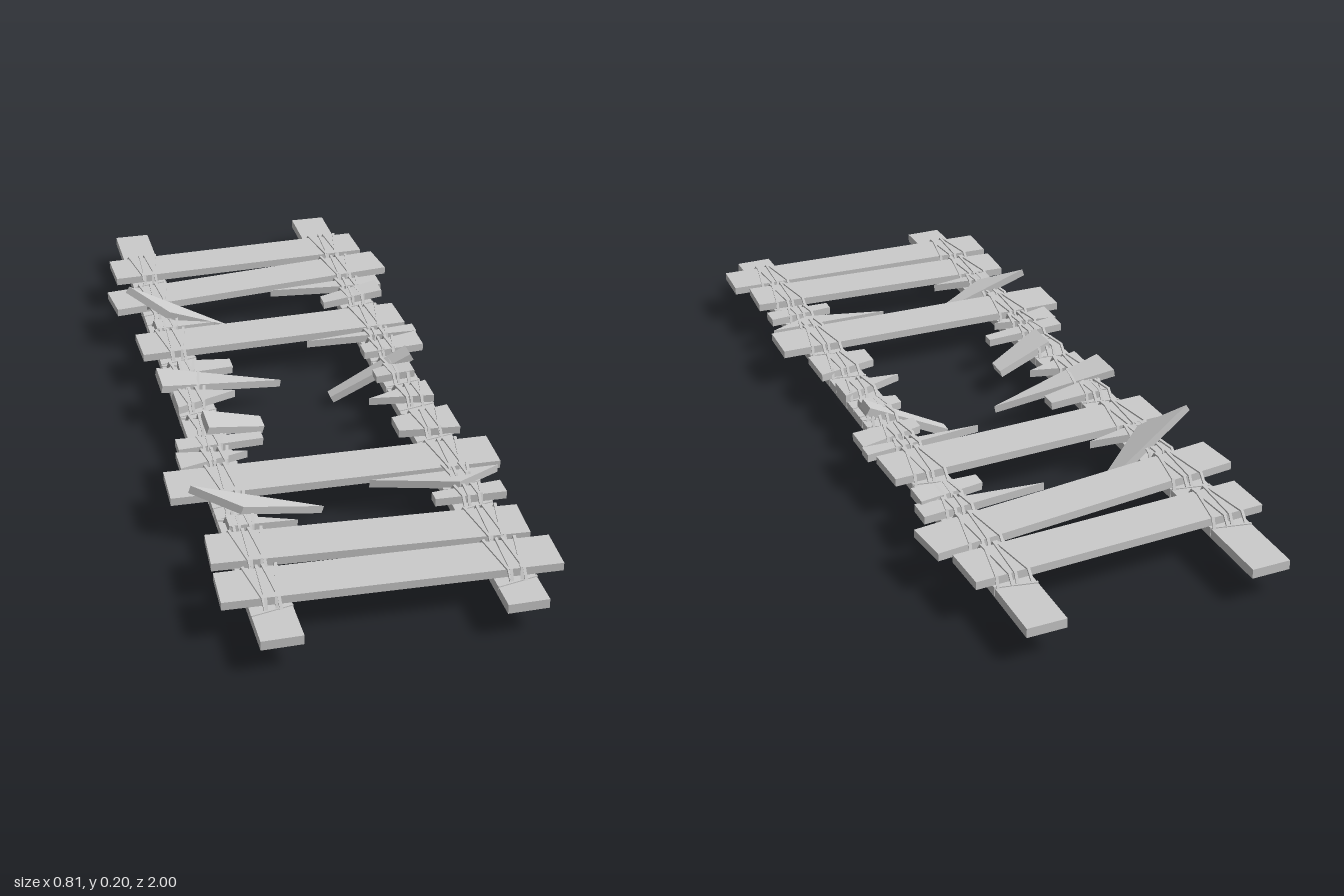
import * as THREE from 'three';

const wood = new THREE.MeshStandardMaterial({ color: 0xcccccc, flatShading: true });
const RAIL_X = [-0.267, 0.274];
const DECK = 0.1, THICK = 0.02;

function box(parent, name, size, pos, yaw = 0) {
  const m = new THREE.Mesh(new THREE.BoxGeometry(...size), wood);
  m.name = name;
  m.position.set(...pos);
  m.rotation.y = yaw;
  parent.add(m);
}

// Outlines seen from above: butt end (x0, z0), broken end (x1, z1), width w
const outlines = {
  // straight butt running to a point
  spike: (x0, z0, x1, z1, w) => [[x0, z0 - w / 2], [x1, z1], [x0, z0 + w / 2]],
  // pointed at both ends, widest a third of the way along
  shard: (x0, z0, x1, z1, w) => [[x0, z0], [x1, z1], [x0 + (x1 - x0) * 0.35, z0 + w]],
  // short piece with a blunter broken end
  stub: (x0, z0, x1, z1, w) => [[x0, z0 - w / 2], [x1, z1 - w * 0.3],
    [x1, z1 + w * 0.3], [x0, z0 + w / 2]],
};

// Broken plank, tilted about the inner edge of its rail
function splinter(parent, kind, x0, z0, x1, z1, w, tilt = 0) {
  const a = THREE.MathUtils.degToRad(tilt);
  const pivot = Math.sign(x0) * 0.22;
  const shape = new THREE.Shape(outlines[kind](x0, z0, x1, z1, w)
    .map(([x, z]) => new THREE.Vector2((x - pivot) / Math.cos(a), -z)));
  const g = new THREE.ExtrudeGeometry(shape, { depth: THICK, bevelEnabled: false });
  g.rotateX(-Math.PI / 2);
  g.rotateZ(a);
  const m = new THREE.Mesh(g, wood);
  m.name = kind;
  m.position.set(pivot, x0 > 0 && tilt > 20 ? DECK - THICK : DECK, 0);
  parent.add(m);
}

// Thin cord over a plank, sloping down to the rail on both sides
function binding(parent, x, z, width, yaw) {
  const h = width / 2 + 0.004, foot = h + 0.014, t = 0.004, top = THICK + 0.001;
  const half = [[foot, 0], [foot + t, 0], [h + t / 2, top + t]];
  const s = new THREE.Shape([
    [-h, top], [h, top], ...half, ...half.map(([u, v]) => [-u, v]).reverse(),
  ].map(([u, v]) => new THREE.Vector2(u, v)));
  const g = new THREE.ExtrudeGeometry(s, { depth: 0.007, bevelEnabled: false });
  g.translate(0, 0, -0.0035);
  g.rotateY(Math.PI / 2 + yaw);
  const m = new THREE.Mesh(g, wood);
  m.name = 'binding';
  m.position.set(x, DECK, z);
  parent.add(m);
}

// Slanted cords over a plank plus cross ties on the rail beside it
function lash(parent, x, z, width) {
  [[-0.026, 0.16], [-0.008, -0.05], [0.014, 0.08], [0.026, -0.2]].forEach(([dx, yaw]) =>
    binding(parent, x + dx, z, width, yaw));
  for (const s of [-1, 1]) {
    box(parent, 'crossTie', [0.098, 0.022, 0.006],
      [x, 0.0915, z + s * (width / 2 + 0.02)], s * 0.2);
  }
}

export function createModel() {
  const root = new THREE.Group();
  root.name = 'brokenBridge';
  const group = (name) => {
    const g = new THREE.Group();
    g.name = name;
    root.add(g);
    return g;
  };

  const rails = group('rails');
  RAIL_X.forEach((x) => box(rails, 'rail', [0.094, 0.023, 2], [x, 0.0885, 0]));

  // Whole planks: end x and z, other end x and z, width
  const planks = group('planks'), bindings = group('bindings');
  [
    [-0.36, -0.746, 0.362, -0.771, 0.117],
    [-0.39, -0.555, 0.397, -0.64, 0.112],
    [-0.358, -0.288, 0.362, -0.307, 0.117],
    [-0.405, 0.402, 0.388, 0.422, 0.116],
    [-0.362, 0.677, 0.358, 0.722, 0.113],
    [-0.37, 0.822, 0.388, 0.853, 0.11],
  ].forEach(([x0, z0, x1, z1, w]) => {
    const dx = x1 - x0, dz = z1 - z0;
    box(planks, 'plank', [Math.hypot(dx, dz), THICK, w],
      [(x0 + x1) / 2, DECK + THICK / 2, (z0 + z1) / 2], -Math.atan2(dz, dx));
    RAIL_X.forEach((x) => lash(bindings, x, z0 + dz * (x - x0) / dx, w));
  });

  // Broken planks: butt x and z, broken end x and z, width, tilt
  const broken = group('brokenPlanks');
  const breakPlanks = (kind, list) => list.forEach((p) => {
    splinter(broken, kind, ...p);
    const [x0, z0, , z1, w] = p;
    lash(bindings, RAIL_X[x0 < 0 ? 0 : 1], z0 * 0.65 + z1 * 0.35, w * 0.7);
  });
  breakPlanks('shard', [
    [-0.365, -0.46, -0.08, -0.505, 0.055, -32],
    [-0.37, 0.49, -0.055, 0.49, 0.06, -18.4],
    [0.375, 0.495, 0.06, 0.49, 0.05],
  ]);
  breakPlanks('spike', [
    [-0.3, -0.383, -0.14, -0.38, 0.055, -4],
    [-0.345, -0.067, -0.025, -0.077, 0.097, -10],
    [-0.315, 0.012, -0.16, 0.005, 0.093],
    [-0.36, 0.302, -0.19, 0.295, 0.073],
    [-0.3, 0.584, -0.14, 0.602, 0.048, -4],
    [0.362, -0.515, 0.05, -0.517, 0.06],
    [0.38, -0.215, 0.08, -0.205, 0.04],
    [0.325, 0.106, 0.16, 0.125, 0.08],
  ]);
  breakPlanks('stub', [
    [-0.278, -0.137, -0.14, -0.147, 0.07, -4],
    [-0.27, 0.152, -0.12, 0.116, 0.085, -18],
    [-0.352, 0.237, -0.14, 0.228, 0.05, -2],
    [0.35, -0.463, 0.18, -0.435, 0.065, 4],
    [0.376, -0.157, 0.212, -0.13, 0.075],
    [0.32, -0.045, 0.11, -0.05, 0.05, 27.5],
    [0.31, -0.008, 0.21, 0.002, 0.065, 5],
    [0.342, 0.253, 0.19, 0.26, 0.11],
    [0.358, 0.584, 0.187, 0.588, 0.05],
  ]);

  return root;
}
